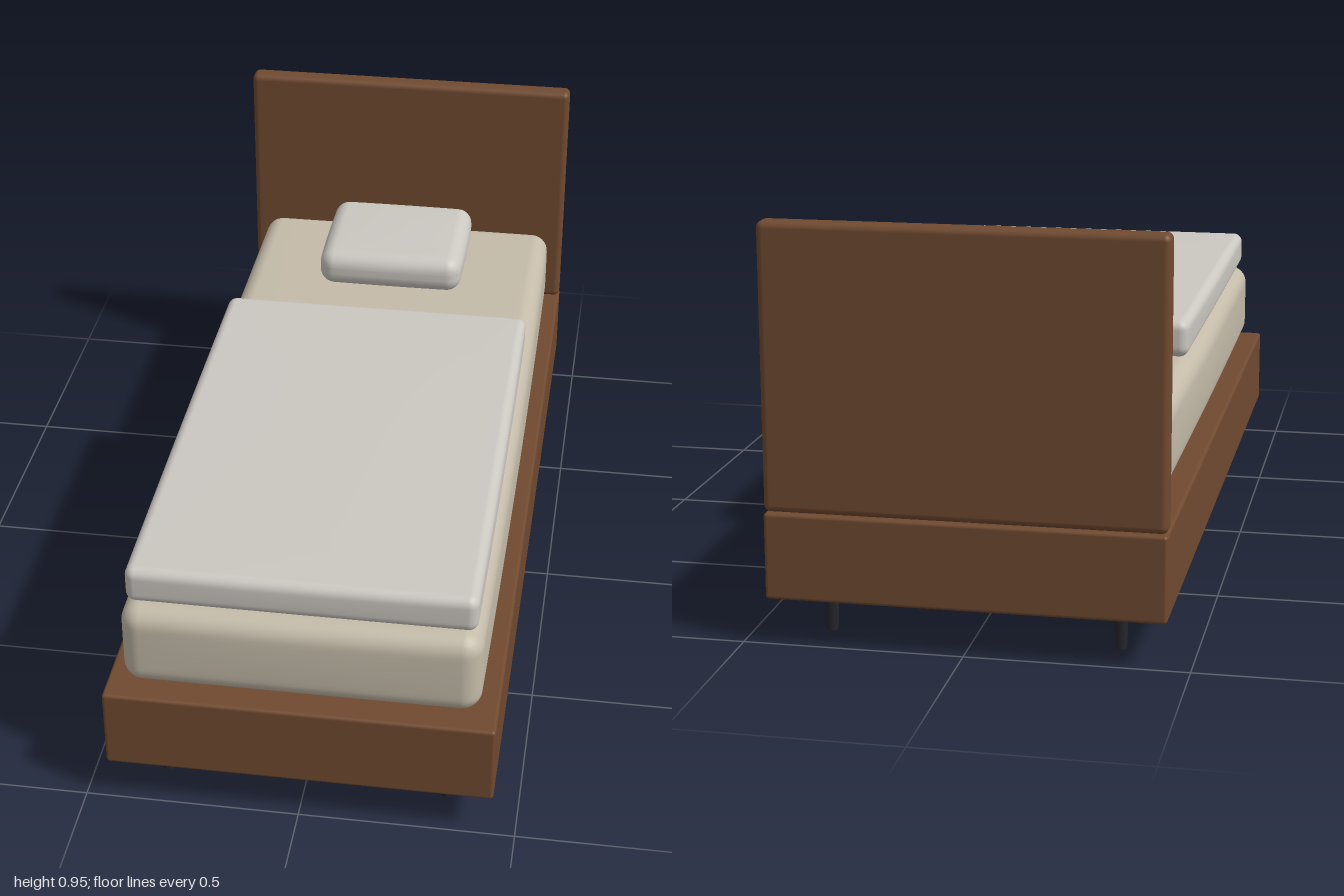
import * as THREE from 'three';
import { mergeVertices } from 'three/addons/utils/BufferGeometryUtils.js';
import { RoundedBoxGeometry } from 'three/addons/geometries/RoundedBoxGeometry.js';

const mat = (color) => new THREE.MeshStandardMaterial({ color });

// Rounded cushion: box grid pulled onto rounded edges, then puffed by `bulge` [x, y, z]
function cushionGeometry(size, radius, bulge) {
  const corner = 4, mid = 10, n = corner * 2 + mid;
  const geo = new THREE.BoxGeometry(2, 2, 2, n, n, n);
  const pos = geo.attributes.position;
  const half = size.map((s, i) => s / 2 - bulge[i]);
  const inner = half.map((h) => h - radius);
  for (let v = 0; v < pos.count; v++) {
    // spread the grid so that the corners get dense rows
    const p = [pos.getX(v), pos.getY(v), pos.getZ(v)].map((t, a) => {
      const i = Math.abs(Math.round(t * n / 2));
      const d = i <= mid / 2
        ? inner[a] * i / (mid / 2)
        : inner[a] + radius * Math.tan((i - mid / 2) / corner * Math.PI / 4);
      return Math.sign(t) * d;
    });
    const core = p.map((c, a) => THREE.MathUtils.clamp(c, -inner[a], inner[a]));
    const dir = new THREE.Vector3(...p.map((c, a) => c - core[a])).setLength(radius).toArray();
    const q = core.map((c, a) => c + dir[a]);
    const u = q.map((c, a) => c / half[a]);
    const out = q.map((c, a) => {
      const b = (a + 1) % 3, d = (a + 2) % 3;
      return c + bulge[a] * u[a] * (1 - u[b] ** 2) * (1 - u[d] ** 2);
    });
    pos.setXYZ(v, ...out);
  }
  geo.deleteAttribute('uv');
  geo.deleteAttribute('normal');
  const smooth = mergeVertices(geo, 1e-5);
  smooth.computeVertexNormals();
  return smooth;
}

export function createModel() {
  const bed = new THREE.Group();
  bed.name = 'bed';
  const wood = mat(0x704a30), linen = mat(0xc4bba9), cover = mat(0xcbc7c1), dark = mat(0x25262a);

  const add = (name, geometry, material, x, y, z) => {
    const mesh = new THREE.Mesh(geometry, material);
    mesh.name = name;
    mesh.position.set(x, y, z);
    bed.add(mesh);
  };

  // Wooden base and headboard
  add('base', new RoundedBoxGeometry(0.895, 0.198, 2, 3, 0.008), wood, 0, 0.202, 0);
  add('headboard', new RoundedBoxGeometry(0.895, 0.647, 0.055, 4, 0.016), wood, 0, 0.6265, -0.9725);

  // Bedding
  add('mattress', cushionGeometry([0.832, 0.212, 1.93], 0.045, [0.008, 0.003, 0.006]), linen, 0, 0.411, 0.003);
  add('duvet', cushionGeometry([0.796, 0.094, 1.238], 0.023, [0.003, 0.002, 0.003]), cover, 0, 0.567, 0.321);
  add('pillow', cushionGeometry([0.394, 0.108, 0.355], 0.038, [0.004, 0.005, 0.004]), cover, 0, 0.571, -0.704);

  // Tapered legs
  for (const x of [-0.33, 0.33]) {
    for (const z of [-0.88, 0.88]) {
      add('leg', new THREE.CylinderGeometry(0.018, 0.0135, 0.108, 16), dark, x, 0.054, z);
    }
  }
  return bed;
}
